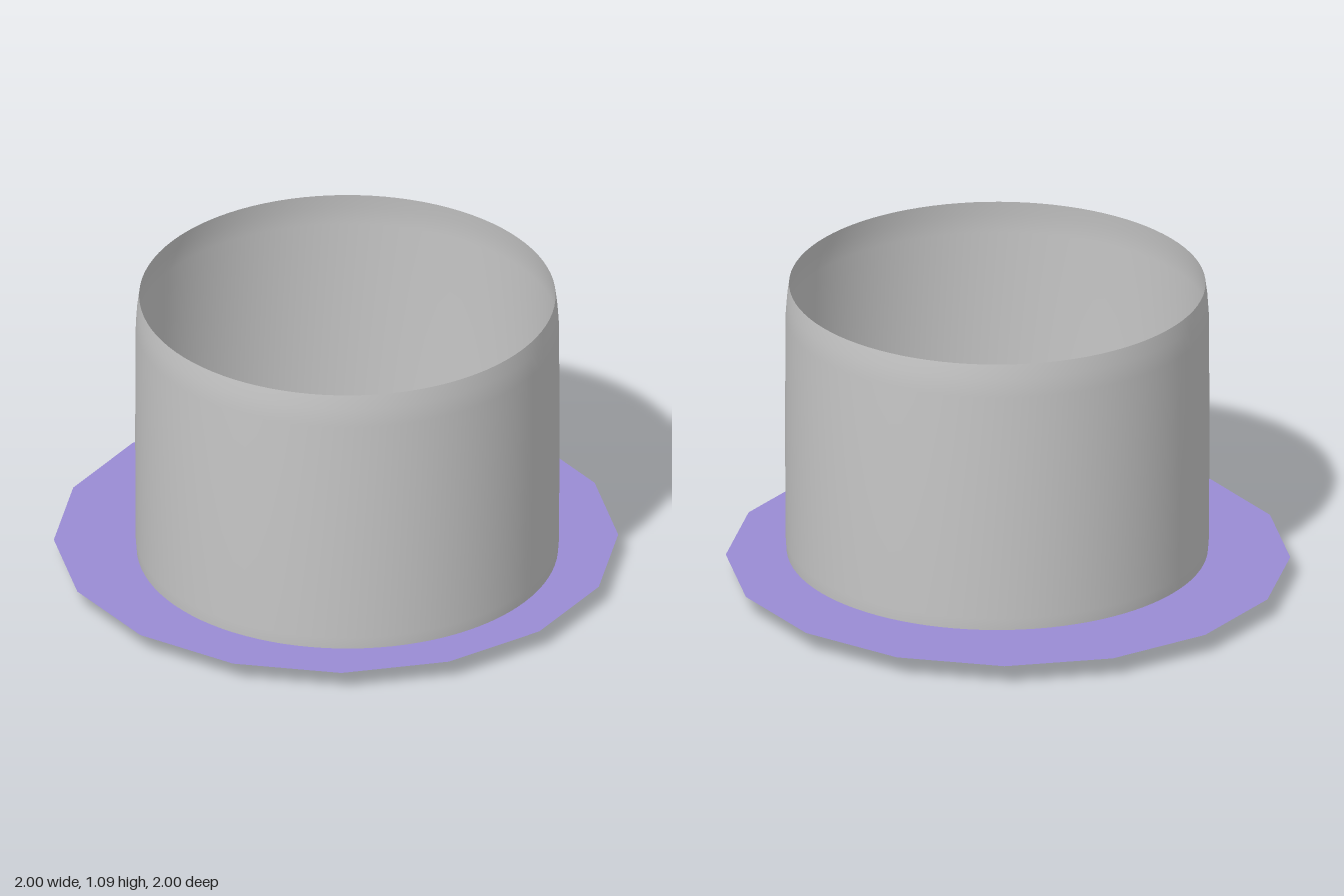
import * as THREE from 'three';

const DISC_Y = 0.075;

export function createModel() {
  const model = new THREE.Group();
  const grey = new THREE.MeshStandardMaterial({ color: 0xc6c6c6, side: THREE.DoubleSide });
  grey.name = 'light grey';
  const purple = new THREE.MeshStandardMaterial({ color: 0x998bd4, side: THREE.DoubleSide });
  purple.name = 'soft purple';

  const add = (name, geometry, material, x = 0, y = 0, z = 0) => {
    const mesh = new THREE.Mesh(geometry, material);
    mesh.name = name;
    mesh.position.set(x, y, z);
    model.add(mesh);
    return mesh;
  };

  // Upright faceted wall along a path of [x, z] points
  const ribbon = (points, y0, y1) => {
    const pos = [];
    for (let i = 0; i + 1 < points.length; i++) {
      const [ax, az] = points[i], [bx, bz] = points[i + 1];
      pos.push(ax, y0, az, bx, y0, bz, bx, y1, bz, ax, y0, az, bx, y1, bz, ax, y1, az);
    }
    const g = new THREE.BufferGeometry();
    g.setAttribute('position', new THREE.Float32BufferAttribute(pos, 3));
    g.computeVertexNormals();
    return g;
  };

  // Smooth closed outline through [x, z] points
  const smooth = (points, n) => new THREE.CatmullRomCurve3(
    points.map(([x, z]) => new THREE.Vector3(x, 0, z)), true)
    .getPoints(n).map((p) => [p.x, p.z]);

  // Flat sixteen-sided base sheet
  add('baseDisc', new THREE.CircleGeometry(1, 16).rotateX(-Math.PI / 2), purple, 0, DISC_Y, 0);

  // Open drum wall, drawn in slightly at both rims
  const wall = [[0.738, 0.006], [0.745, 0.05], [0.75, 0.12], [0.752, 0.55], [0.75, 0.97], [0.745, 1.04], [0.738, 1.093]]
    .map(([r, y]) => new THREE.Vector2(r, y));
  add('drumWall', new THREE.LatheGeometry(wall, 96), grey, -0.025, 0, 0.08);

  // Wavy strip standing under the front of the sheet
  const wave = [];
  for (let i = 0; i <= 12; i++) wave.push([-0.4 + i * 0.0635, 0.67 + (i % 2 ? 0.009 : -0.009)]);
  add('wavyStrip', ribbon(wave, 0, DISC_Y + 0.001), grey);

  // Flat figure, with a gap at the arm and one between the legs
  const body = smooth([
    [-0.05, -0.15], [-0.08, -0.18], [-0.09, -0.28], [-0.02, -0.31], [0.03, -0.28], [0.08, -0.23],
    [0.13, -0.225], [0.19, -0.18], [0.19, -0.13], [0.16, -0.08], [0.165, 0.09], [0.15, 0.2], [0.155, 0.28],
    [0.11, 0.33], [0.07, 0.37], [0.02, 0.34], [-0.03, 0.35], [-0.07, 0.32], [-0.12, 0.33], [-0.14, 0.37],
    [-0.2, 0.36], [-0.26, 0.3], [-0.25, 0.25], [-0.2, 0.21], [-0.15, 0.14], [-0.16, 0.06], [-0.11, -0.04],
    [-0.06, -0.09]], 112);
  const gaps = [
    [[-0.07, -0.06], [-0.02, -0.07], [0.03, -0.04], [0.06, 0.0], [0.0, 0.02], [-0.07, -0.01]],
    [[-0.03, 0.18], [0.01, 0.23], [-0.01, 0.3], [-0.06, 0.27], [-0.065, 0.22]],
  ];
  const toVectors = (points) => points.map(([x, z]) => new THREE.Vector2(x, -z));
  const shape = new THREE.Shape(toVectors(body));
  for (const gap of gaps) shape.holes.push(new THREE.Path(toVectors(gap)));
  const bodyGeometry = new THREE.ExtrudeGeometry(shape, { depth: 0.04, bevelEnabled: false });
  add('figureBody', bodyGeometry.rotateX(-Math.PI / 2), grey, 0, DISC_Y + 0.002, 0);

  // Edges of the figure that dip below the sheet
  add('figureLowerEdge', ribbon(body.slice(0, 54), DISC_Y - 0.02, DISC_Y), grey);
  add('armGapLowerEdge', ribbon([...gaps[0], gaps[0][0]], DISC_Y - 0.015, DISC_Y), grey);

  // Outlined shoes and a fold on the shirt
  const loops = {
    rightShoe: [[-0.21, 0.35], [-0.22, 0.4], [-0.2, 0.43], [-0.15, 0.42], [-0.15, 0.37]],
    leftShoe: [[-0.07, 0.4], [-0.09, 0.45], [-0.06, 0.475], [-0.02, 0.45], [0.02, 0.41], [0.01, 0.36], [-0.04, 0.37]],
  };
  const tube = (points, closed, radius) => new THREE.TubeGeometry(new THREE.CatmullRomCurve3(
    points.map(([x, z]) => new THREE.Vector3(x, 0, z)), closed), 40, radius, 6, closed);
  for (const [name, points] of Object.entries(loops)) {
    add(name, tube(points, true, 0.01), grey, 0, DISC_Y + 0.02, 0);
  }
  add('shirtFold', tube([[-0.04, 0.0], [-0.08, 0.02], [-0.13, 0.05], [-0.11, 0.08], [-0.05, 0.05], [-0.06, 0.12]],
    false, 0.005), grey, 0, DISC_Y + 0.042, 0);

  // Small raised marks over the body
  const marks = [[0.02, -0.11], [0.05, -0.12], [0.13, -0.14], [0.07, 0.15], [0.12, 0.14], [0.07, 0.23],
    [0.12, 0.22], [-0.15, 0.27], [-0.15, 0.29], [-0.2, 0.26], [0.0, 0.33], [0.06, 0.33]];
  for (const [x, z] of marks) {
    add('bodyMark', new THREE.ConeGeometry(0.009, 0.02, 5), grey, x, DISC_Y + 0.048, z);
  }

  // Pebbled ball held at the head
  const ball = new THREE.IcosahedronGeometry(0.07, 7);
  const p = ball.attributes.position;
  const v = new THREE.Vector3();
  for (let i = 0; i < p.count; i++) {
    v.fromBufferAttribute(p, i);
    v.multiplyScalar(1 + 0.035 * Math.sin(v.x * 330) * Math.sin(v.y * 330 + 1) * Math.sin(v.z * 330 + 2));
    p.setXYZ(i, v.x, v.y, v.z);
  }
  ball.computeVertexNormals();
  add('ball', ball, grey, -0.035, DISC_Y + 0.073, -0.24);

  return model;
}
